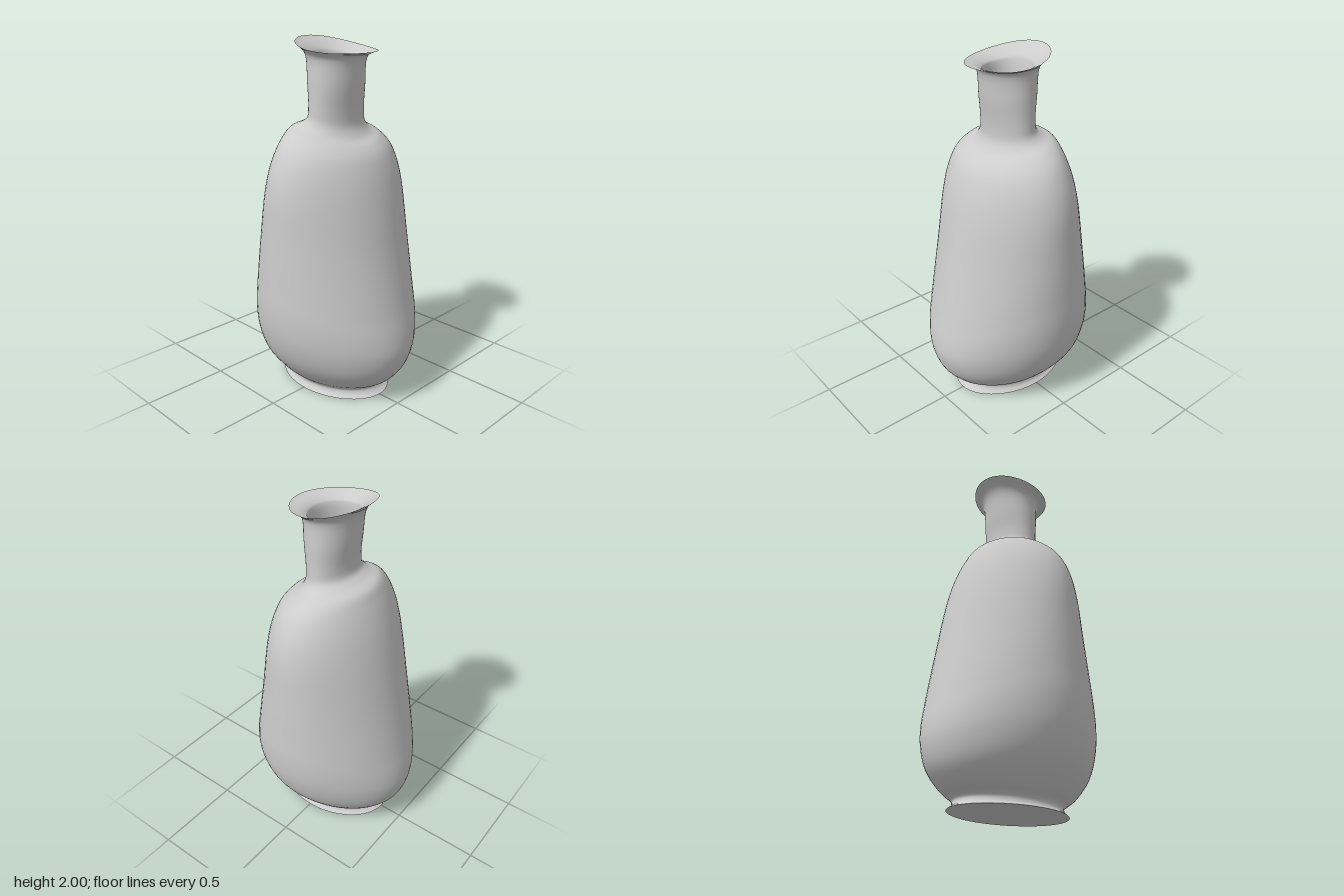
import * as THREE from 'three';

// Section rings, bottom to top: [front y, front z, side y, side x, back y, back z]
const RINGS = [
  [0.0, 0.365, 0.0, 0.262, 0.0, -0.365],
  [0.02, 0.338, 0.02, 0.244, 0.02, -0.338],
  [0.045, 0.33, 0.045, 0.242, 0.045, -0.333],
  [0.1, 0.405, 0.1, 0.3, 0.1, -0.405],
  [0.19, 0.477, 0.22, 0.393, 0.19, -0.475],
  [0.3, 0.51, 0.36, 0.445, 0.3, -0.505],
  [0.4, 0.505, 0.52, 0.465, 0.4, -0.503],
  [0.54, 0.475, 0.7, 0.463, 0.54, -0.478],
  [0.85, 0.41, 0.95, 0.455, 0.85, -0.416],
  [1.17, 0.347, 1.2, 0.44, 1.19, -0.347],
  [1.3, 0.31, 1.34, 0.405, 1.35, -0.303],
  [1.39, 0.27, 1.44, 0.35, 1.47, -0.255],
  [1.44, 0.225, 1.5, 0.28, 1.53, -0.22],
  [1.475, 0.17, 1.535, 0.21, 1.555, -0.16],
  [1.53, 0.135, 1.57, 0.184, 1.585, -0.118],
  [1.6, 0.13, 1.63, 0.177, 1.65, -0.11],
  [1.75, 0.147, 1.76, 0.174, 1.78, -0.127],
  [1.885, 0.163, 1.89, 0.172, 1.91, -0.146],
  [1.912, 0.182, 1.918, 0.185, 1.955, -0.168],
  [1.93, 0.235, 1.945, 0.22, 2.0, -0.215],
];

const curve = (yi, ri) =>
  new THREE.CatmullRomCurve3(RINGS.map((r) => new THREE.Vector3(r[ri], r[yi], 0)), false, 'centripetal');
const front = curve(0, 1), side = curve(2, 3), back = curve(4, 5);
const SEGMENTS = 64;

// One closed ring at height parameter u, shrunk inwards by inset
function ring(u, inset = 0) {
  const f = front.getPoint(u), s = side.getPoint(u), b = back.getPoint(u);
  const mid = (f.x + b.x) / 2, rz = (f.x - b.x) / 2 - inset, rx = s.x - inset;
  const tilt = (f.y - b.y) / 2, bow = (f.y + b.y) / 2 - s.y;
  const pinch = 0.035 * THREE.MathUtils.clamp((s.x - 0.2) / 0.25, 0, 1);
  const points = [];
  for (let i = 0; i < SEGMENTS; i++) {
    const t = (i / SEGMENTS) * Math.PI * 2, c = Math.cos(t);
    const k = 1 - pinch * Math.sin(2 * t) ** 2;
    points.push(new THREE.Vector3(rx * k * Math.sin(t), s.y + tilt * c + bow * c * c, mid + rz * k * c));
  }
  return points;
}

// Skin a stack of rings; faces point outwards when the stack goes up
function loft(rings) {
  const positions = [], index = [];
  rings.forEach((r) => r.forEach((p) => positions.push(p.x, p.y, p.z)));
  for (let j = 0; j < rings.length - 1; j++) {
    for (let i = 0; i < SEGMENTS; i++) {
      const n = (i + 1) % SEGMENTS;
      const a = j * SEGMENTS + i, b = j * SEGMENTS + n;
      index.push(a, b, b + SEGMENTS, a, b + SEGMENTS, a + SEGMENTS);
    }
  }
  const g = new THREE.BufferGeometry();
  g.setAttribute('position', new THREE.Float32BufferAttribute(positions, 3));
  g.setIndex(index);
  g.computeVertexNormals();
  return g;
}

export function createModel() {
  const group = new THREE.Group();
  group.name = 'bottleVase';
  const material = new THREE.MeshStandardMaterial({ color: 0xcccccc, side: THREE.DoubleSide });
  const add = (name, rings) => {
    const mesh = new THREE.Mesh(loft(rings), material);
    mesh.name = name;
    group.add(mesh);
  };

  // Outer skin from foot to rim
  const steps = 114, outer = [];
  for (let j = 0; j <= steps; j++) outer.push(ring(j / steps));
  add('outerWall', outer);

  // Inner skin from rim down to the floor, thinning to a sharp lip
  const inner = [], floorStep = 12;
  for (let j = steps; j >= floorStep; j--) {
    const fade = Math.min(1, (steps - j) / 10);
    inner.push(ring(j / steps, 0.03 * fade));
  }
  add('innerWall', inner);

  // Flat underside and inner floor
  const center = (r) => r.map(() => new THREE.Vector3(0, r[0].y, 0));
  const bottom = outer[0], floor = inner[inner.length - 1];
  add('underside', [center(bottom), bottom]);
  add('innerFloor', [floor, center(floor)]);
  return group;
}
